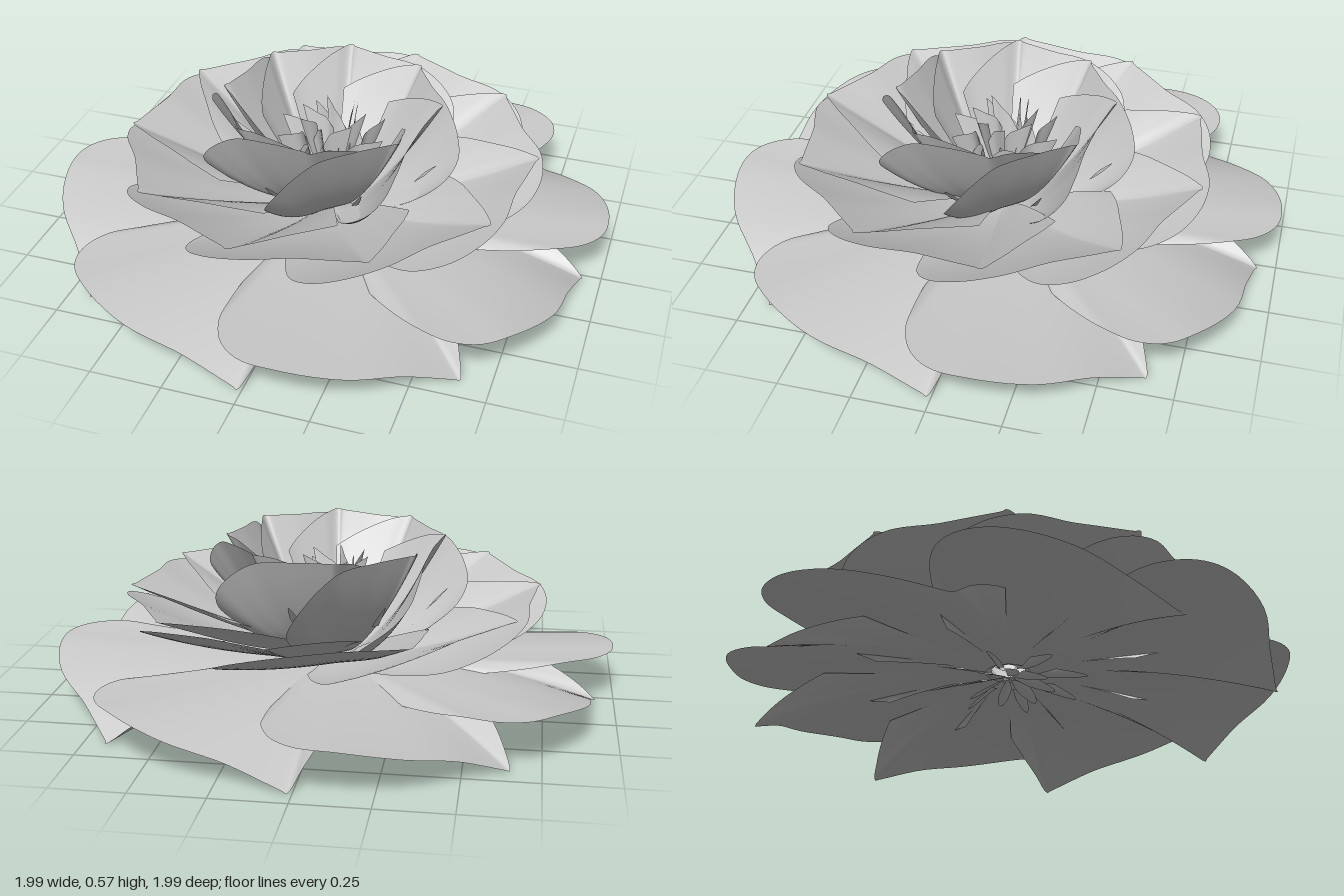
import * as THREE from 'three';

const RAD = Math.PI / 180;
const material = new THREE.MeshStandardMaterial({ color: 0xcccccc, side: THREE.DoubleSide });

// A petal is swept from a small base out to a rim curve.
// Rim points are [clockwise degrees from the tip, radius, height],
// from the tucked flap over the pointed tip to the rounded lobe.
// The two powers set how cupped the petal is at the flap and at the lobe.
function petalGeometry({ rim, base, powers, across = 56, along = 14 }) {
  const curve = new THREE.CatmullRomCurve3(
    rim.map(([a, r, y]) => new THREE.Vector3(a / 60, r, y)), false, 'centripetal');
  const geometry = new THREE.PlaneGeometry(1, 1, across, along);
  const pos = geometry.attributes.position;
  const [baseRadius, baseY] = base;
  for (let j = 0; j <= along; j++) {
    const s = 1 - j / along;
    for (let i = 0; i <= across; i++) {
      const p = curve.getPoint(i / across);
      const angle = p.x * 60 * RAD;
      const power = THREE.MathUtils.lerp(powers[0], powers[1], i / across);
      const r = baseRadius + (p.y - baseRadius) * s;
      const y = baseY + (p.z - baseY) * Math.pow(s, power);
      pos.setXYZ(j * (across + 1) + i, r * Math.sin(angle), y, -r * Math.cos(angle));
    }
  }
  geometry.computeVertexNormals();
  return geometry;
}

// Repeats one petal evenly around the vertical axis
function whorl(name, count, startAngle, options) {
  const group = new THREE.Group();
  group.name = name + 's';
  const geometry = petalGeometry(options);
  for (let k = 0; k < count; k++) {
    const petal = new THREE.Mesh(geometry, material);
    petal.name = name;
    petal.rotation.y = -(startAngle + (k * 360) / count) * RAD;
    group.add(petal);
  }
  return group;
}

export function createModel() {
  const flower = new THREE.Group();
  flower.name = 'flower';

  // Wide open petals with drooping tips; the lobe rides over the neighbour's tip
  flower.add(whorl('outerPetal', 8, 1, {
    rim: [[-9, 0.66, 0.145], [-6, 0.75, 0.11], [-2.5, 0.86, 0.055], [0, 0.935, 0], [1, 0.93, 0.005],
      [12, 0.935, 0.075], [24, 0.985, 0.13], [36, 1.0, 0.17], [43, 0.985, 0.175], [48, 0.93, 0.175],
      [52, 0.83, 0.17], [55, 0.7, 0.145], [60, 0.48, 0.11]],
    base: [0.08, 0.14], powers: [2, 2.2],
  }));

  // Shallow bowl of overlapping petals; the flap lies inside the neighbour
  flower.add(whorl('middlePetal', 10, 9.5, {
    rim: [[-30, 0.42, 0.31], [-22, 0.48, 0.335], [-12, 0.57, 0.36], [-4, 0.68, 0.38], [0, 0.735, 0.385],
      [1.5, 0.725, 0.383], [18, 0.7, 0.375], [32, 0.745, 0.365], [42, 0.75, 0.335], [50, 0.72, 0.295],
      [57, 0.64, 0.245], [63, 0.5, 0.2], [70, 0.36, 0.17]],
    base: [0.08, 0.15], powers: [0.8, 2.3],
  }));

  // Steeper cup
  flower.add(whorl('innerPetal', 8, -7, {
    rim: [[-46, 0.25, 0.46], [-22, 0.3, 0.525], [-8, 0.35, 0.56], [0, 0.39, 0.57], [3, 0.378, 0.568],
      [22, 0.365, 0.56], [42, 0.41, 0.545], [52, 0.455, 0.49], [58, 0.475, 0.43], [64, 0.45, 0.36],
      [70, 0.38, 0.29], [74, 0.28, 0.22]],
    base: [0.06, 0.15], powers: [1.2, 2.1],
  }));

  // Small pointed petals in the heart
  flower.add(whorl('heartPetal', 8, 10, {
    rim: [[0, 0.2, 0.44], [12, 0.13, 0.42], [35, 0.11, 0.4], [60, 0.12, 0.33]],
    base: [0.03, 0.16], powers: [1.6, 1.6], across: 12, along: 8,
  }));
  flower.add(whorl('budPetal', 7, 25, {
    rim: [[0, 0.12, 0.5], [15, 0.08, 0.47], [45, 0.06, 0.44], [70, 0.07, 0.38]],
    base: [0.01, 0.2], powers: [1.4, 1.4], across: 12, along: 8,
  }));

  // Little leaf tips under the flower and between the cup and the bowl
  flower.add(whorl('lowerTip', 8, 0, {
    rim: [[0, 0.17, 0.11], [5, 0.29, 0.1], [12, 0.18, 0.13]],
    base: [0.1, 0.12], powers: [1, 1], across: 8, along: 4,
  }));
  flower.add(whorl('lowerInnerTip', 8, 14, {
    rim: [[0, 0.08, 0.1], [12, 0.17, 0.08], [30, 0.09, 0.12]],
    base: [0.02, 0.12], powers: [1, 1], across: 8, along: 4,
  }));
  flower.add(whorl('cupTip', 8, 12, {
    rim: [[0, 0.37, 0.37], [2, 0.42, 0.42], [4, 0.38, 0.37]],
    base: [0.34, 0.33], powers: [1, 1], across: 8, along: 4,
  }));

  return flower;
}
